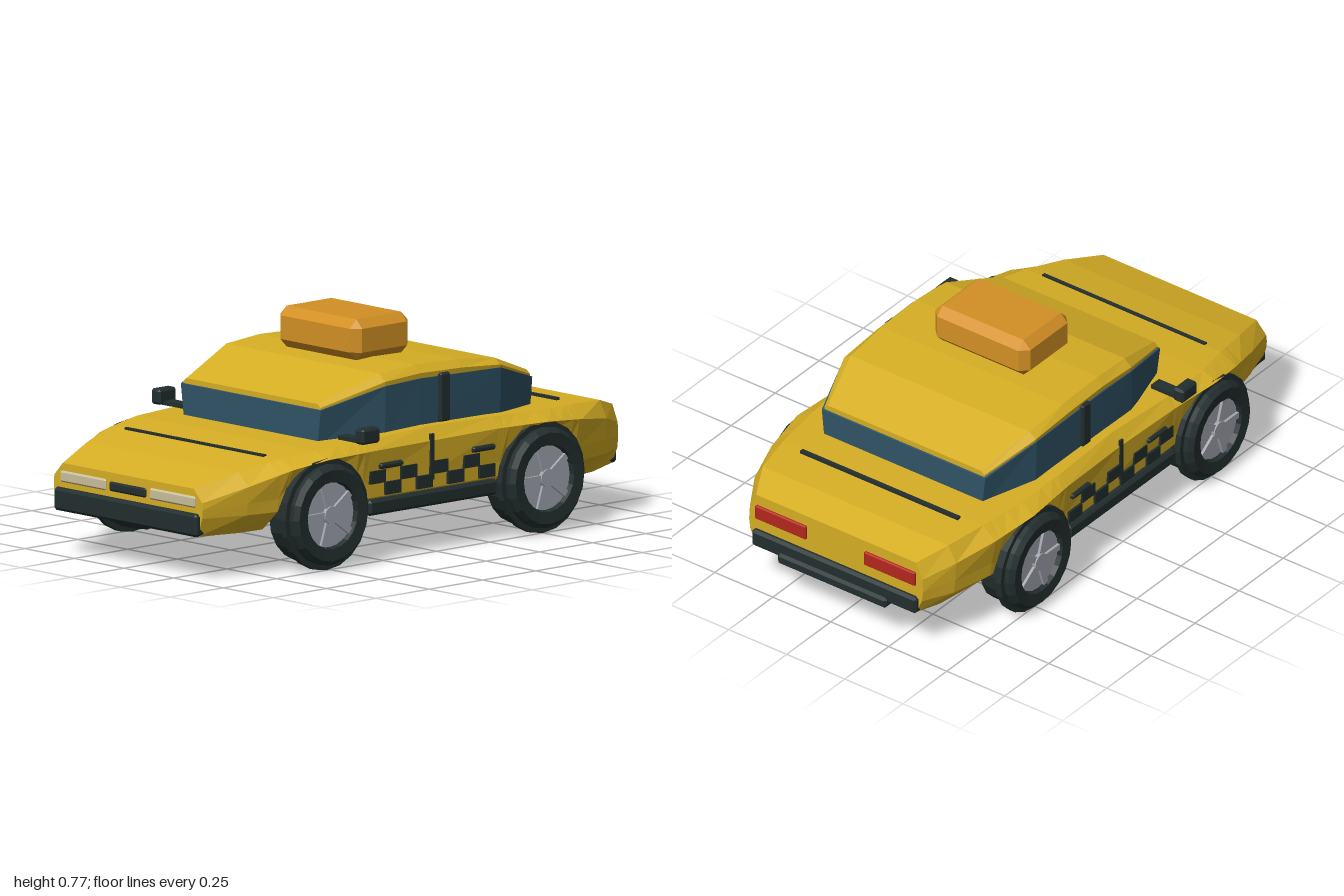
import * as THREE from 'three';
import { ConvexGeometry } from 'three/addons/geometries/ConvexGeometry.js';

const mat = (name, color) => Object.assign(new THREE.MeshStandardMaterial({ color }), { name });

// Chamfered box: three points at each of the eight corners
function chamferBox(w, h, d, c) {
  const pts = [];
  for (const sx of [-1, 1]) for (const sy of [-1, 1]) for (const sz of [-1, 1]) {
    for (let k = 0; k < 3; k++) {
      const i = [c, c, c];
      i[k] = 0;
      pts.push(new THREE.Vector3(sx * (w / 2 - i[0]), sy * (h / 2 - i[1]), sz * (d / 2 - i[2])));
    }
  }
  return new ConvexGeometry(pts);
}

const flat = (g) => {
  const f = g.index ? g.toNonIndexed() : g;
  f.computeVertexNormals();
  return f;
};

// Linear interpolation in rows sorted by falling z: [z, a, b, ...]
function sample(rows, z) {
  let i = 0;
  while (i < rows.length - 2 && z < rows[i + 1][0]) i++;
  const a = rows[i], b = rows[i + 1];
  const t = (z - a[0]) / (b[0] - a[0]);
  return a.map((v, k) => v + (b[k] - v) * t);
}

// Loft of mirrored half sections, front to back: rows of [z, x0, y0, x1, y1, ...], top to bottom
function loft(rows) {
  const half = (rows[0].length - 1) / 2, n = half * 2;
  const pos = [], idx = [];
  for (const r of rows) {
    for (let i = 0; i < half; i++) pos.push(r[1 + 2 * i], r[2 + 2 * i], r[0]);
    for (let i = half - 1; i >= 0; i--) pos.push(-r[1 + 2 * i], r[2 + 2 * i], r[0]);
  }
  for (let s = 0; s < rows.length - 1; s++) for (let i = 0; i < n; i++) {
    const a = s * n + i, a1 = s * n + (i + 1) % n;
    idx.push(a, a1, a + n, a1, a1 + n, a + n);
  }
  const last = (rows.length - 1) * n;
  for (let k = 1; k < n - 1; k++) idx.push(0, k + 1, k, last, last + k, last + k + 1);
  const g = new THREE.BufferGeometry();
  g.setAttribute('position', new THREE.Float32BufferAttribute(pos, 3));
  g.setIndex(idx);
  return flat(g);
}

export function createModel() {
  const yellow = mat('yellow paint', 0xd6ae24);
  const dark = mat('dark trim', 0x232e2e);
  const blue = mat('window glass', 0x2f5366);
  const orange = mat('orange sign', 0xd39024);
  const grey = mat('wheel metal', 0xa3a6b0);
  const cream = mat('headlight cream', 0xcabf9c);
  const red = mat('tail light red', 0xb3261c);

  const car = new THREE.Group();
  car.name = 'taxi';
  const add = (name, geo, m, parent = car) => {
    const mesh = new THREE.Mesh(geo, m);
    mesh.name = name;
    parent.add(mesh);
    return mesh;
  };
  // Box given by its limits, chamfered when c > 0
  const box = (name, m, x0, x1, y0, y1, z0, z1, c = 0) => {
    const w = x1 - x0, h = y1 - y0, d = z1 - z0;
    const g = c ? chamferBox(w, h, d, c) : new THREE.BoxGeometry(w, h, d);
    add(name, g, m).position.set((x0 + x1) / 2, (y0 + y1) / 2, (z0 + z1) / 2);
  };
  const pair = (name, m, x0, x1, ...rest) => {
    box(name + 'Left', m, x0, x1, ...rest);
    box(name + 'Right', m, -x1, -x0, ...rest);
  };

  // Body: top edge, shoulder, mid side, low side, bottom edge
  const sections = [
    [0.98, 0.33, 0.32, 0.372, 0.275, 0.375, 0.25, 0.372, 0.22, 0.35, 0.155],
    [0.82, 0.38, 0.365, 0.435, 0.32, 0.43, 0.26, 0.425, 0.22, 0.37, 0.15],
    [0.66, 0.42, 0.397, 0.487, 0.365, 0.465, 0.27, 0.46, 0.22, 0.385, 0.15],
    [0.52, 0.45, 0.41, 0.51, 0.385, 0.478, 0.27, 0.472, 0.22, 0.39, 0.15],
    [0.30, 0.46, 0.418, 0.494, 0.385, 0.48, 0.27, 0.478, 0.22, 0.41, 0.15],
    [0.0, 0.45, 0.43, 0.485, 0.385, 0.48, 0.27, 0.478, 0.22, 0.42, 0.15],
    [-0.30, 0.46, 0.427, 0.494, 0.39, 0.48, 0.27, 0.478, 0.22, 0.41, 0.15],
    [-0.52, 0.45, 0.42, 0.51, 0.388, 0.478, 0.27, 0.472, 0.22, 0.39, 0.15],
    [-0.70, 0.43, 0.415, 0.483, 0.37, 0.465, 0.27, 0.46, 0.22, 0.38, 0.145],
    [-0.86, 0.40, 0.405, 0.435, 0.345, 0.43, 0.27, 0.425, 0.22, 0.365, 0.15],
    [-0.97, 0.345, 0.37, 0.372, 0.31, 0.375, 0.26, 0.37, 0.22, 0.345, 0.165],
  ];
  // Wheel arches run right across the underside
  const wheelZ = [0.515, -0.5];
  const arch = [[0.19, 0.15], [0.185, 0.22], [0.155, 0.3], [0.09, 0.355], [0, 0.372],
    [-0.09, 0.355], [-0.155, 0.3], [-0.185, 0.22], [-0.19, 0.15]];
  const floor = wheelZ.flatMap((c) => arch.map(([dz, y]) => [c + dz, y]));
  const zs = [...sections.map((s) => s[0]), ...floor.map((f) => f[0])].sort((a, b) => b - a);
  const rows = [...new Set(zs)].map((z) => {
    const r = sample(sections, z);
    if (wheelZ.some((c) => Math.abs(z - c) < 0.191)) {
      const y = sample(floor, z)[1];
      for (let k = 2; k < r.length; k += 2) r[k] = Math.max(r[k], y);
    }
    return r;
  });
  add('body', loft(rows), yellow);

  // Cabin glass and roof
  add('cabinGlass', loft([
    [0.405, 0.352, 0.522, 0.335, 0.39],
    [0.16, 0.417, 0.585, 0.412, 0.39],
    [0, 0.42, 0.592, 0.416, 0.39],
    [-0.38, 0.417, 0.582, 0.412, 0.39],
    [-0.588, 0.352, 0.515, 0.34, 0.39],
  ]), blue);
  add('roof', loft([
    [0.4, 0.33, 0.542, 0.345, 0.53, 0.345, 0.517],
    [0.16, 0.385, 0.625, 0.414, 0.6, 0.412, 0.576],
    [0, 0.39, 0.637, 0.416, 0.61, 0.414, 0.586],
    [-0.2, 0.39, 0.631, 0.416, 0.605, 0.414, 0.585],
    [-0.38, 0.385, 0.612, 0.414, 0.592, 0.412, 0.574],
    [-0.583, 0.33, 0.537, 0.345, 0.524, 0.345, 0.508],
  ]), yellow);
  pair('doorPillar', dark, 0.4, 0.43, 0.43, 0.6, -0.134, -0.086, 0.006);

  // Roof sign
  box('roofSign', orange, -0.205, 0.205, 0.632, 0.775, -0.167, 0.103, 0.03);

  // Front and rear fittings
  box('frontBumper', dark, -0.36, 0.36, 0.155, 0.235, 0.92, 1.0, 0.01);
  box('grille', dark, -0.092, 0.092, 0.256, 0.289, 0.96, 0.988, 0.006);
  pair('headlight', cream, 0.11, 0.34, 0.254, 0.294, 0.96, 0.987, 0.006);
  box('rearBumper', dark, -0.355, 0.355, 0.165, 0.232, -0.988, -0.92, 0.01);
  box('rearBumperStep', dark, -0.235, 0.235, 0.145, 0.188, -1.0, -0.915, 0.01);
  pair('tailLight', red, 0.125, 0.345, 0.275, 0.33, -0.979, -0.95, 0.004);
  box('hoodSeam', dark, -0.35, 0.35, 0.385, 0.402, 0.658, 0.672);
  box('trunkSeam', dark, -0.34, 0.34, 0.405, 0.423, -0.728, -0.712);

  // Mirrors, skirts, handles and door seams
  pair('mirrorArm', dark, 0.385, 0.5, 0.42, 0.435, 0.31, 0.355);
  pair('mirror', dark, 0.49, 0.535, 0.422, 0.476, 0.293, 0.378, 0.008);
  pair('sideSkirt', dark, 0.42, 0.497, 0.16, 0.215, -0.295, 0.31, 0.01);
  pair('frontHandle', dark, 0.475, 0.5, 0.318, 0.338, 0.15, 0.258, 0.006);
  pair('rearHandle', dark, 0.475, 0.5, 0.32, 0.34, -0.282, -0.176, 0.006);
  pair('doorSeam', dark, 0.481, 0.4895, 0.25, 0.41, 0.0, 0.016);

  // Checker band in two rows
  for (let i = 0; i < 8; i++) {
    const z = 0.3 - i * 0.0735, y = i % 2 ? 0.224 : 0.269;
    pair('checker' + (i + 1), dark, 0.4795, 0.489, y, y + 0.045, z - 0.0735, z);
  }

  // Wheels
  const lathe = (pts) => flat(new THREE.LatheGeometry(pts.map((p) => new THREE.Vector2(...p)), 20));
  const tyre = lathe([[0.112, -0.05], [0.118, -0.072], [0.16, -0.076], [0.176, -0.06], [0.176, 0.06],
    [0.16, 0.076], [0.118, 0.072], [0.112, 0.05]]);
  const tread = lathe([[0.17, 0.018], [0.195, 0.018], [0.195, 0.042], [0.17, 0.042]]);
  const disc = new THREE.CylinderGeometry(0.116, 0.116, 0.108, 20);
  const hub = new THREE.CylinderGeometry(0.032, 0.032, 0.138, 16);
  const spoke = new THREE.BoxGeometry(0.024, 0.128, 0.1);
  for (const side of [1, -1]) wheelZ.forEach((z, i) => {
    const wheel = new THREE.Group();
    wheel.name = (i ? 'rear' : 'front') + 'Wheel' + (side > 0 ? 'Left' : 'Right');
    add('tyre', tyre, dark, wheel);
    add('treadRing', tread, dark, wheel);
    add('rim', disc, grey, wheel);
    add('hub', hub, grey, wheel);
    for (let k = 0; k < 5; k++) {
      const a = (k * 2 * Math.PI) / 5;
      const s = add('spoke', spoke, grey, wheel);
      s.position.set(Math.sin(a) * 0.062, 0, Math.cos(a) * 0.062);
      s.rotation.y = a;
    }
    wheel.rotation.z = -side * Math.PI / 2;
    wheel.position.set(side * 0.459, 0.195, z);
    car.add(wheel);
  });

  return car;
}
